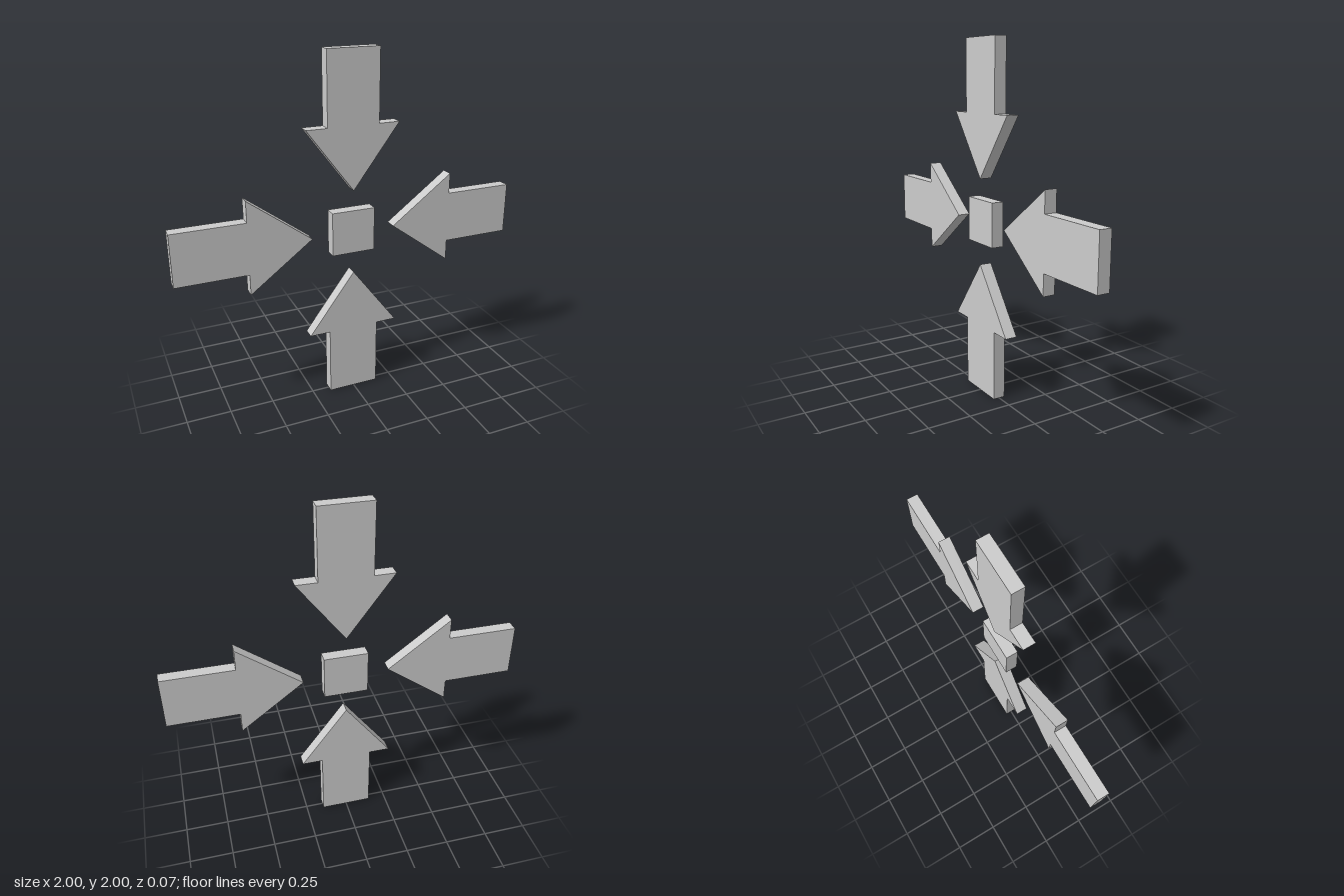
import * as THREE from 'three';

const DEPTH = 0.07;
const CENTER_Y = 1;

// Arrow outline lying along +x, its tip pointing back at the origin
function arrowGeometry() {
  const tip = 0.243, shoulder = 0.6, end = 1;
  const headHalf = 0.267, shaftHalf = 0.148;
  const shape = new THREE.Shape([
    [tip, 0], [shoulder, -headHalf], [shoulder, -shaftHalf], [end, -shaftHalf],
    [end, shaftHalf], [shoulder, shaftHalf], [shoulder, headHalf],
  ].map(([x, y]) => new THREE.Vector2(x, y)));
  const geometry = new THREE.ExtrudeGeometry(shape, { depth: DEPTH, bevelEnabled: false });
  return geometry.translate(0, 0, -DEPTH / 2);
}

export function createModel() {
  const model = new THREE.Group();
  model.name = 'inwardArrows';
  const material = new THREE.MeshStandardMaterial({ color: 0xcccccc, flatShading: true });

  // Four arrows pointing at the centre
  const geometry = arrowGeometry();
  ['leftArrow', 'topArrow', 'rightArrow', 'bottomArrow'].forEach((name, i) => {
    const arrow = new THREE.Mesh(geometry, material);
    arrow.name = name;
    arrow.position.y = CENTER_Y;
    arrow.rotation.z = i * Math.PI / 2;
    model.add(arrow);
  });

  // Square block in the middle
  const block = new THREE.Mesh(new THREE.BoxGeometry(0.25, 0.25, DEPTH), material);
  block.name = 'centerBlock';
  block.position.y = CENTER_Y + 0.003;
  model.add(block);

  return model;
}
